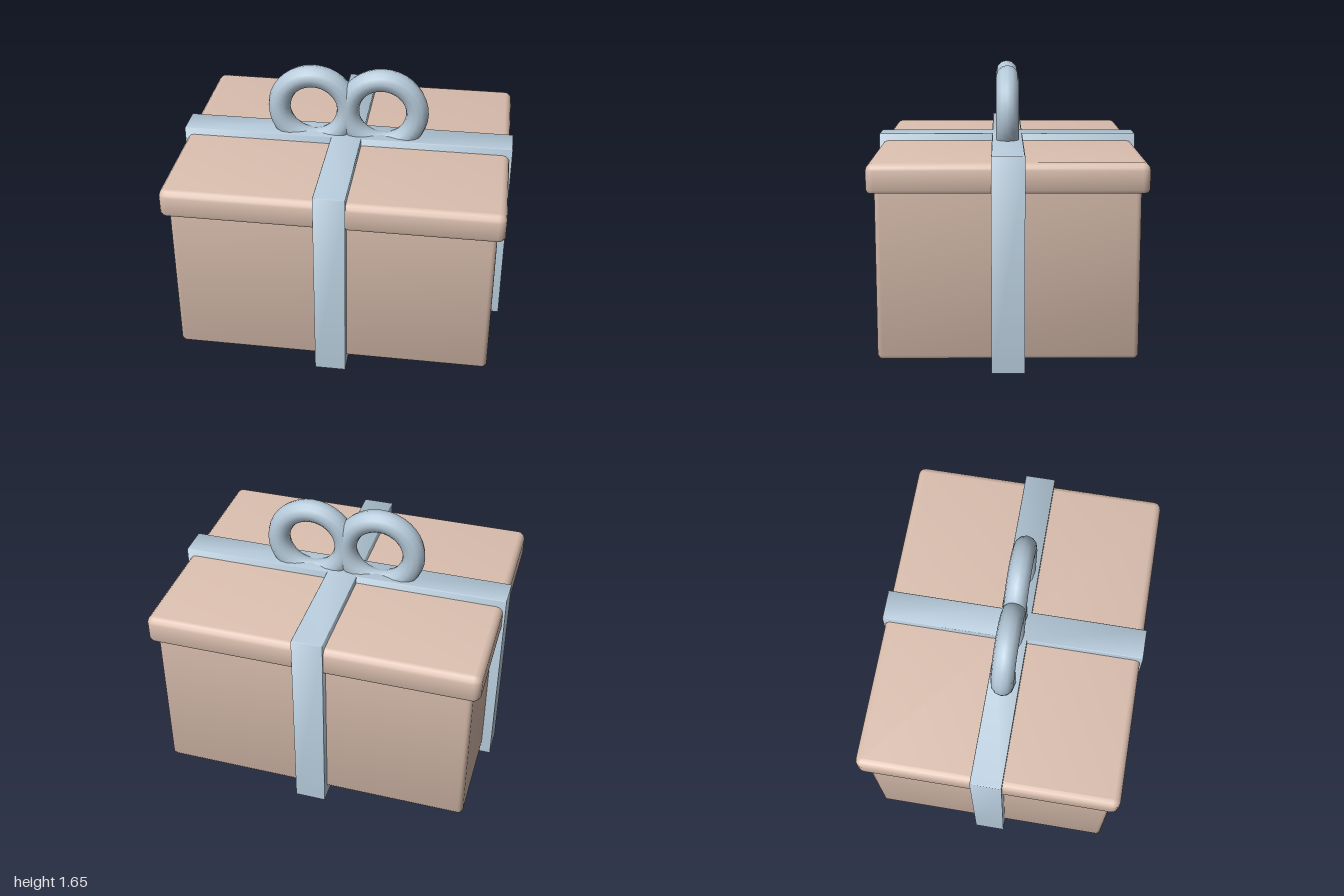
import * as THREE from 'three';
import { toCreasedNormals } from 'three/addons/utils/BufferGeometryUtils.js';

const card = new THREE.MeshStandardMaterial({ color: 0xdcc0b0, side: THREE.DoubleSide });
const ribbon = new THREE.MeshStandardMaterial({ color: 0xb4c8d8, side: THREE.DoubleSide });

// Rounded rectangle outline, counter-clockwise, shrinkable by an inset
const roundedRect = (hx, hz, r) => (inset) => {
  const rad = Math.max(r - inset, 0.003), pts = [];
  const corners = [[1, 1], [-1, 1], [-1, -1], [1, -1]];
  corners.forEach(([sx, sz], k) => {
    for (let i = 0; i <= 4; i++) {
      const a = (k + i / 4) * Math.PI / 2;
      pts.push(new THREE.Vector2(
        sx * (hx - inset - rad) + rad * Math.cos(a),
        sz * (hz - inset - rad) + rad * Math.sin(a)));
    }
  });
  return pts;
};

// Cross-shaped outline of the two ribbon bands
const cross = (hx, hz, half) => (inset) => {
  const x = hx - inset, z = hz - inset, w = half - inset;
  return [[x, -w], [x, w], [w, w], [w, z], [-w, z], [-w, w],
    [-x, w], [-x, -w], [-w, -w], [-w, -z], [w, -z], [w, -w]]
    .map(([a, b]) => new THREE.Vector2(a, b));
};

// Shell open at the bottom: rings of [inset, y] from low to high, optional flat top
function shell(outline, rings, capped) {
  const pos = [];
  const loops = rings.map(([inset, y]) =>
    outline(inset).map((p) => new THREE.Vector3(p.x, y, -p.y)));
  const tri = (...vs) => vs.forEach((v) => pos.push(v.x, v.y, v.z));
  for (let r = 0; r < loops.length - 1; r++) {
    const lo = loops[r], hi = loops[r + 1];
    lo.forEach((a, i) => {
      const j = (i + 1) % lo.length;
      tri(a, lo[j], hi[j]);
      tri(a, hi[j], hi[i]);
    });
  }
  if (capped) {
    const top = loops[loops.length - 1];
    const flat = outline(rings[rings.length - 1][0]);
    THREE.ShapeUtils.triangulateShape(flat, [])
      .forEach(([a, b, c]) => tri(top[a], top[b], top[c]));
  }
  const geo = new THREE.BufferGeometry();
  geo.setAttribute('position', new THREE.Float32BufferAttribute(pos, 3));
  return toCreasedNormals(geo, 0.8);
}

export function createModel() {
  const group = new THREE.Group();
  group.name = 'giftBox';
  const add = (name, geo, mat) => {
    const mesh = new THREE.Mesh(geo, mat);
    mesh.name = name;
    group.add(mesh);
    return mesh;
  };

  // Box walls, reaching up into the lid
  add('boxWalls', shell(roundedRect(0.94, 0.73, 0.03),
    [[0.012, 0.065], [0, 0.085], [0, 1.1]], false), card);

  // Overhanging lid with a rounded top edge
  add('lid', shell(roundedRect(0.985, 0.773, 0.045),
    [[0.01, 1.012], [0, 1.03], [0, 1.135], [0.005, 1.152], [0.02, 1.169], [0.04, 1.175]],
    true), card);

  // Crossed ribbon bands
  add('ribbonBands', shell(cross(1, 0.785, 0.092),
    [[0, 0], [0, 1.216], [0.004, 1.22]], true), ribbon);

  // Two bow loops, sunk into the ribbon
  for (const [name, side] of [['leftBowLoop', 1], ['rightBowLoop', -1]]) {
    add(name, new THREE.TorusGeometry(0.21, 0.068, 12, 36), ribbon)
      .position.set(side * 0.21, 1.368, 0);
  }
  return group;
}
